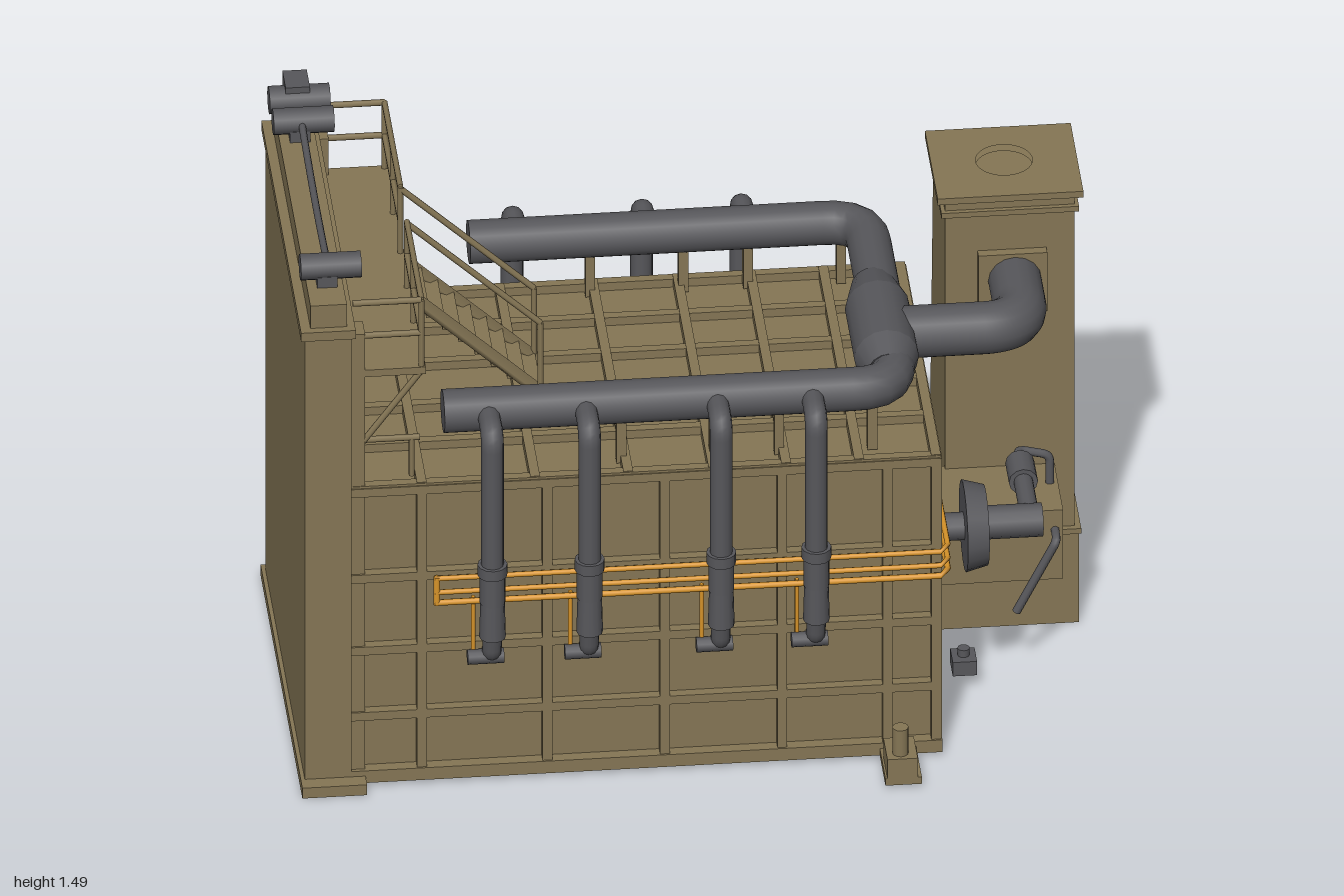
import * as THREE from 'three';

const V = (x, y, z) => new THREE.Vector3(x, y, z);

export function createModel() {
  const model = new THREE.Group();
  model.name = 'industrialFurnace';
  const mat = (name, color) => {
    const m = new THREE.MeshStandardMaterial({ color });
    m.name = name;
    return m;
  };
  const tan = mat('tanSteel', 0x857655);
  const grey = mat('darkGreyPipe', 0x57575b);
  const orange = mat('orangeGas', 0xd9952a);
  const red = mat('warningRed', 0xa83a22);

  const add = (name, geo, m, parent = model) => {
    const mesh = new THREE.Mesh(geo, m);
    mesh.name = name;
    parent.add(mesh);
    return mesh;
  };
  // box given by its extents
  const box = (name, m, x0, x1, y0, y1, z0, z1) => {
    const b = add(name, new THREE.BoxGeometry(x1 - x0, y1 - y0, z1 - z0), m);
    b.position.set((x0 + x1) / 2, (y0 + y1) / 2, (z0 + z1) / 2);
    return b;
  };
  // round bar between two points
  const rod = (name, m, a, b, r, r2 = r, sides = 12) => {
    const c = add(name, new THREE.CylinderGeometry(r2, r, a.distanceTo(b), sides), m);
    c.position.copy(a).lerp(b, 0.5);
    c.quaternion.setFromUnitVectors(V(0, 1, 0), b.clone().sub(a).normalize());
    return c;
  };
  // capped pipe along a polyline with rounded bends
  const pipe = (name, m, pts, r, bend = r * 1.6, sides = 12) => {
    const path = new THREE.CurvePath();
    let from = pts[0];
    for (let i = 1; i < pts.length - 1; i++) {
      const a = pts[i].clone().add(pts[i - 1].clone().sub(pts[i]).setLength(bend));
      const b = pts[i].clone().add(pts[i + 1].clone().sub(pts[i]).setLength(bend));
      path.add(new THREE.LineCurve3(from, a));
      path.add(new THREE.QuadraticBezierCurve3(a, pts[i], b));
      from = b;
    }
    path.add(new THREE.LineCurve3(from, pts[pts.length - 1]));
    add(name, new THREE.TubeGeometry(path, pts.length * 20, r, sides), m);
    [[0, 1], [pts.length - 1, pts.length - 2]].forEach(([e, n]) => {
      const inward = pts[e].clone().add(pts[n].clone().sub(pts[e]).setLength(0.006));
      rod(name + 'Cap', m, pts[e], inward, r, r, sides);
    });
  };

  // ---- furnace body with ribbed casing
  box('furnaceBody', tan, -0.88, 0.56, 0.02, 0.845, -0.44, 0.41);
  box('furnaceBase', tan, -0.88, 0.585, 0.01, 0.045, -0.46, 0.44);
  const ribX = [-0.7, -0.39, -0.1, 0.19, 0.45, 0.57];
  for (const [z0, z1] of [[0.41, 0.435], [-0.465, -0.44]]) {
    for (const x of ribX) box('sideRib', tan, x - 0.012, x + 0.012, 0.03, 0.86, z0, z1);
    for (const y of [0.2, 0.39, 0.6, 0.85]) box('sideRail', tan, -0.88, 0.58, y - 0.012, y + 0.012, z0, z1);
  }
  for (const z of [-0.45, -0.2, 0.08, 0.42]) box('endRib', tan, 0.56, 0.585, 0.03, 0.86, z - 0.012, z + 0.012);
  for (const y of [0.19, 0.37, 0.59, 0.85]) box('endRail', tan, 0.56, 0.585, y - 0.012, y + 0.012, -0.46, 0.43);
  for (const x of [-0.7, -0.42, -0.19, 0.02, 0.2, 0.38, 0.57]) box('roofRib', tan, x - 0.012, x + 0.012, 0.845, 0.87, -0.46, 0.43);
  for (const z of [-0.45, -0.29, -0.13, 0.06, 0.23, 0.42]) box('roofRail', tan, -0.87, 0.58, 0.845, 0.868, z - 0.012, z + 0.012);
  box('endDoor', tan, 0.56, 0.6, 0.04, 0.48, -0.14, 0.08);

  // ---- tall door frame at the charging end
  box('doorWall', tan, -0.99, -0.875, 0, 1.33, -0.525, 0.44);
  box('doorWallFoot', tan, -1, -0.84, 0, 0.03, -0.55, 0.48);
  box('doorWallCap', tan, -1, -0.865, 1.31, 1.335, -0.53, 0.45);
  box('hoistBeam', tan, -0.975, -0.885, 1.33, 1.4, -0.51, 0.43);
  for (const z of [-0.5, 0.4]) box('wallPost', tan, -0.88, -0.84, 0.03, 1.31, z - 0.03, z + 0.03);
  box('wallCrossBeam', tan, -0.88, -0.85, 1.05, 1.09, -0.5, 0.4);
  const hoistZ = [[0.32, 0.034], [-0.35, 0.034], [-0.45, 0.036]];
  for (const [z, r] of hoistZ) {
    rod('hoistMotor', grey, V(-0.99, 1.445, z), V(-0.84, 1.445, z), r, r, 10);
    box('hoistBracket', grey, -0.95, -0.9, 1.39, 1.43, z - 0.03, z + 0.03);
  }
  box('hoistGearbox', grey, -0.95, -0.89, 1.43, 1.49, -0.51, -0.43);
  const sag = new THREE.QuadraticBezierCurve3(V(-0.92, 1.44, 0.32), V(-0.92, 1.41, 0.02), V(-0.92, 1.45, -0.35));
  add('hoistShaft', new THREE.TubeGeometry(sag, 16, 0.009, 8), grey);

  // ---- platform, railing and stair
  box('platform', tan, -0.875, -0.69, 1.185, 1.205, -0.5, 0.43);
  const bars = [];
  for (const z of [-0.49, -0.28, -0.1, 0.06, 0.22, 0.42]) bars.push([V(-0.7, 1.2, z), V(-0.7, 1.395, z)]);
  for (const y of [1.3, 1.395]) {
    bars.push([V(-0.7, y, -0.49), V(-0.7, y, -0.1)], [V(-0.7, y, 0.06), V(-0.7, y, 0.42)]);
    for (const z of [-0.49, 0.42]) bars.push([V(-0.87, y, z), V(-0.7, y, z)]);
  }
  for (const z of [-0.49, 0.42]) {
    bars.push([V(-0.86, 0.97, z), V(-0.7, 1.19, z)]);
    bars.push([V(-0.72, 0.86, z * 0.9), V(-0.72, 0.97, z * 0.9)], [V(-0.87, 0.97, z * 0.9), V(-0.7, 0.97, z * 0.9)]);
  }
  for (const z of [-0.1, 0.06]) {
    bars.push([V(-0.7, 1.39, z), V(-0.37, 1.08, z)], [V(-0.37, 1.08, z), V(-0.37, 0.86, z)]);
    rod('stairStringer', tan, V(-0.7, 1.19, z), V(-0.36, 0.87, z), 0.017, 0.017, 4);
  }
  for (const [a, b] of bars) rod('railing', tan, a, b, 0.008, 0.008, 6);
  for (let i = 0; i < 8; i++) {
    const x = -0.67 + i * 0.04, y = 1.15 - i * 0.038;
    box('stairTread', tan, x - 0.022, x + 0.022, y, y + 0.01, -0.1, 0.06);
  }

  // ---- chimney, narrowing toward the top at the back
  const backZ = y => -0.55 + 0.096 * y;
  const taper = (name, y0, y1, x0, x1, zFront, grow) => {
    const m = box(name, tan, x0, x1, y0, y1, -1, 0);
    const p = m.geometry.attributes.position;
    m.position.z = 0;
    for (let i = 0; i < p.count; i++) {
      p.setZ(i, p.getZ(i) > 0 ? zFront : backZ(p.getY(i) > 0 ? y1 : y0) - grow);
    }
    m.geometry.computeVertexNormals();
  };
  taper('chimneyBase', 0, 0.27, 0.64, 0.98, -0.135, 0);
  taper('chimneyLedge', 0.26, 0.275, 0.635, 0.985, -0.13, 0.005);
  taper('chimneyStack', 0.27, 1.2, 0.65, 0.97, -0.145, 0);
  taper('chimneyCollar', 1.195, 1.21, 0.64, 0.98, -0.135, 0.008);
  const frame = (x0, x1, z0, z1) => {
    const s = new THREE.Shape([[x0, -z0], [x1, -z0], [x1, -z1], [x0, -z1]].map(q => new THREE.Vector2(...q)));
    s.holes.push(new THREE.Path().absarc(0.81, 0.29, 0.07, 0, Math.PI * 2, true));
    return s;
  };
  for (const [y, h, e] of [[1.2, 0.04, 0], [1.24, 0.018, 0.02]]) {
    const g = new THREE.ExtrudeGeometry(frame(0.65 - e, 0.97 + e, -0.43 - e * 0.6, -0.147 + e), { depth: h, bevelEnabled: false, curveSegments: 20 });
    add('chimneyCap', g.rotateX(-Math.PI / 2).translate(0, y, 0), tan);
  }
  box('flueFlange', tan, 0.73, 0.9, 0.92, 1.09, -0.15, -0.12);
  box('flueDuct', tan, 0.57, 0.92, 0.26, 0.46, -0.16, 0.07);

  // ---- flame warning signs
  const sign = () => {
    const g = new THREE.Group();
    g.name = 'warningSign';
    const pt = (r, k) => new THREE.Vector2(0, r).rotateAround(new THREE.Vector2(), k * Math.PI * 2 / 3);
    for (let k = 0; k < 3; k++) {
      const a = pt(0.148, k), b = pt(0.148, k + 1), c = pt(0.1, k), d = pt(0.1, k + 1);
      const bar = new THREE.Shape([a.clone().lerp(b, 0.06), a.clone().lerp(b, 0.94), d.clone().lerp(c, 0.03), c.clone().lerp(d, 0.03)]);
      add('signBorder', new THREE.ShapeGeometry(bar), red, g);
    }
    const flame = [[-0.022, -0.035], [-0.044, -0.03], [-0.04, 0], [-0.02, 0.025], [0.002, 0.055], [0.022, 0.03], [0.042, 0], [0.046, -0.03], [0.024, -0.035], [0, -0.012]];
    add('signFlame', new THREE.ShapeGeometry(new THREE.Shape(flame.map(q => new THREE.Vector2(...q)).reverse())), red, g);
    g.rotation.order = 'YXZ';
    model.add(g);
    return g;
  };
  const sideSign = sign();
  sideSign.position.set(0.974, 0.89, -0.29);
  sideSign.rotation.y = Math.PI / 2;
  const backSign = sign();
  backSign.position.set(0.81, 0.89, backZ(0.89) - 0.004);
  backSign.rotation.set(-Math.atan(0.096), Math.PI, 0);

  // ---- exhaust header looping over the roof and into the chimney
  pipe('exhaustHeader', grey, [V(-0.64, 1.02, 0.345), V(0.48, 1.02, 0.345), V(0.48, 1.02, -0.42), V(-0.5, 1.02, -0.42)], 0.055, 0.1, 16);
  rod('headerJunction', grey, V(0.47, 1.02, 0.21), V(0.47, 1.02, -0.02), 0.08, 0.08, 16);
  rod('headerReducer', grey, V(0.47, 1.02, -0.02), V(0.47, 1.02, -0.12), 0.08, 0.055, 16);
  rod('headerReducer', grey, V(0.47, 1.02, 0.21), V(0.47, 1.02, 0.28), 0.08, 0.055, 16);
  pipe('chimneyPipe', grey, [V(0.44, 1.015, 0.09), V(0.82, 1.015, 0.09), V(0.82, 1.015, -0.15)], 0.066, 0.1, 16);
  for (const x of [-0.2, 0.03, 0.19, 0.42]) {
    for (const z of [-0.42, 0.345]) box('headerSupport', tan, x - 0.012, x + 0.012, 0.85, 0.98, z - 0.015, z + 0.015);
  }

  // ---- burner drop pipes on both long sides
  const drop = (x, s, zHead, zPipe) => {
    pipe('burnerDrop', grey, [V(x, 1.025, zHead), V(x, 1.025, zPipe), V(x, 0.62, zPipe)], 0.028, 0.04);
    rod('burnerFlange', grey, V(x, 0.65, zPipe), V(x, 0.62, zPipe), 0.037);
    rod('burnerValve', s > 0 ? grey : orange, V(x, 0.63, zPipe), V(x, 0.54, zPipe), 0.032);
    rod('burnerBody', grey, V(x, 0.55, zPipe), V(x, 0.44, zPipe), 0.03, 0.033);
    pipe('burnerElbow', grey, [V(x, 0.46, zPipe), V(x, 0.375, zPipe - s * 0.015), V(x, 0.375, zPipe - s * 0.08)], 0.024, 0.03);
    rod('burnerNozzle', grey, V(x - 0.06, 0.37, zPipe - s * 0.02), V(x + 0.03, 0.37, zPipe - s * 0.02), 0.019);
    rod('gasFeed', orange, V(x - 0.045, 0.375, zPipe - s * 0.03), V(x - 0.045, 0.54, zPipe - s * 0.03), 0.006, 0.006, 6);
  };
  for (const x of [-0.53, -0.29, 0.035, 0.27]) drop(x, 1, 0.345, 0.475);
  for (const x of [-0.38, -0.06, 0.185]) drop(x, -1, -0.42, -0.54);

  // ---- gas lines wrapping around the body
  for (const [y, r] of [[0.53, 0.008], [0.56, 0.007], [0.6, 0.007]]) {
    pipe('gasLine', orange, [V(-0.67, y, 0.45), V(0.6, y, 0.45), V(0.6, y, -0.475), V(-0.67, y, -0.475)], r, 0.02, 8);
  }
  rod('gasLineEnd', orange, V(-0.665, 0.525, 0.45), V(-0.665, 0.605, 0.45), 0.008);

  // ---- combustion blower with its control line
  rod('blowerInlet', grey, V(0.59, 0.55, 0.26), V(0.66, 0.55, 0.26), 0.035);
  rod('blowerHousing', grey, V(0.655, 0.55, 0.26), V(0.71, 0.55, 0.26), 0.115, 0.1, 18);
  rod('blowerMotor', grey, V(0.71, 0.55, 0.25), V(0.85, 0.55, 0.25), 0.042);
  rod('blowerOutlet', grey, V(0.82, 0.56, 0.27), V(0.82, 0.56, 0.07), 0.024);
  rod('blowerCoupling', grey, V(0.82, 0.56, 0.09), V(0.82, 0.56, 0), 0.036);
  pipe('controlLine', grey, [V(0.82, 0.56, 0), V(0.82, 0.56, -0.06), V(0.9, 0.54, -0.06), V(0.9, 0.41, -0.06), V(0.9, 0.4, 0.115), V(0.8, 0.2, 0.115)], 0.011, 0.02, 8);
  box('drainValve', grey, 0.64, 0.7, 0.04, 0.08, 0.08, 0.145);
  rod('drainValveStem', grey, V(0.67, 0.06, 0.11), V(0.67, 0.1, 0.11), 0.015);

  // ---- foot pedestal at the front corner
  box('footPlate', tan, 0.43, 0.52, 0.01, 0.03, 0.42, 0.58);
  box('footBlock', tan, 0.435, 0.51, 0.03, 0.085, 0.48, 0.58);
  rod('footPost', tan, V(0.47, 0.08, 0.55), V(0.47, 0.16, 0.55), 0.02);
  return model;
}
